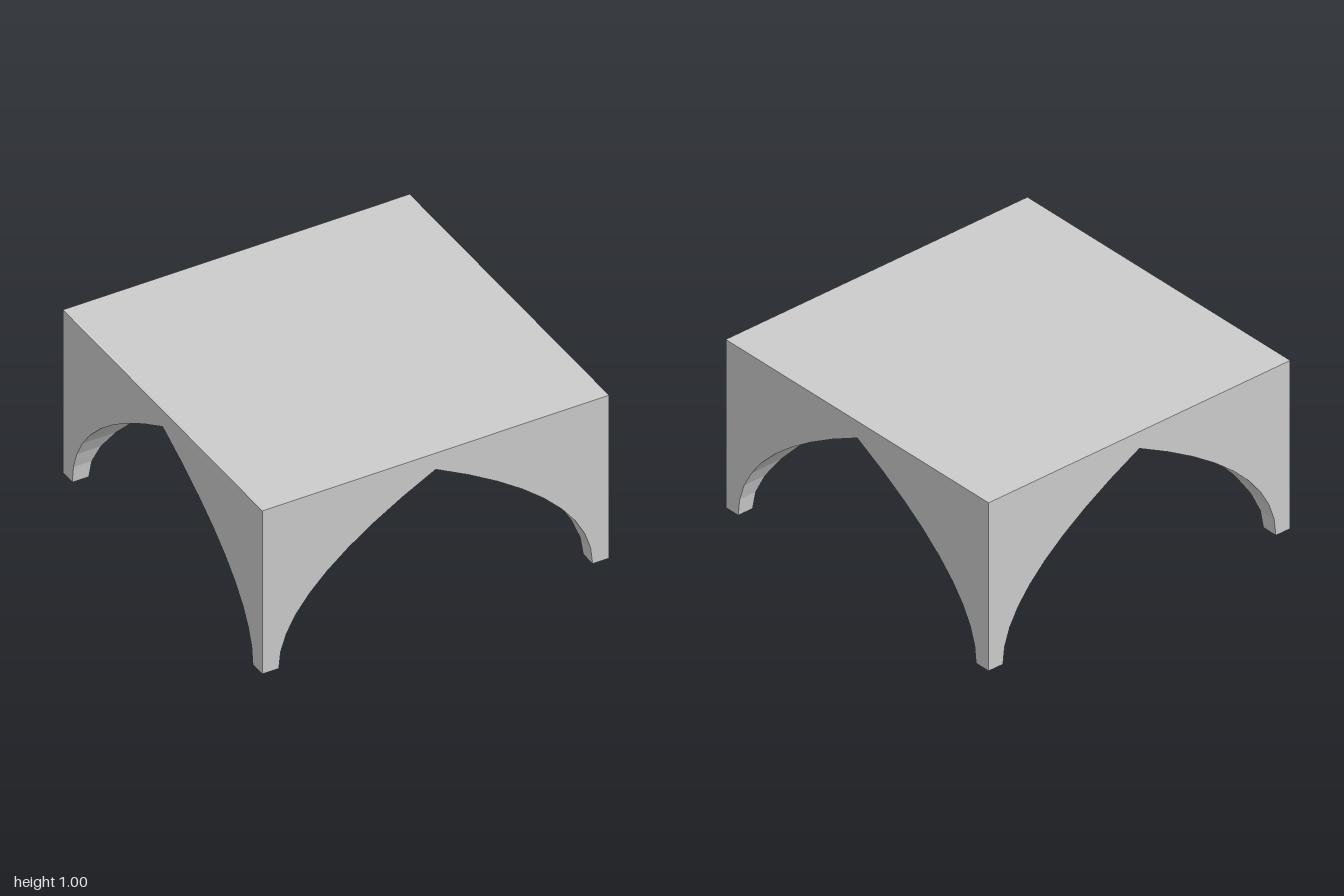
import * as THREE from 'three';

const STEPS = 9, APEX = 0.9, SPRING = 0.905, TOP = 1;
// Half-width of the pointed arch at height y
const halfWidth = (y) => SPRING * (1 - (y / APEX) ** 2);

const material = new THREE.MeshStandardMaterial({ color: 0xcccccc, flatShading: true });

// Outer wall with the arch cut out of it
function wallGeometry() {
  const shape = new THREE.Shape();
  shape.moveTo(-1, 0);
  for (let i = 0; i <= STEPS; i++) {
    const y = (APEX * i) / STEPS;
    shape.lineTo(-halfWidth(y), y);
  }
  for (let i = STEPS - 1; i >= 0; i--) {
    const y = (APEX * i) / STEPS;
    shape.lineTo(halfWidth(y), y);
  }
  shape.lineTo(1, 0);
  shape.lineTo(1, TOP);
  shape.lineTo(-1, TOP);
  return new THREE.ShapeGeometry(shape).translate(0, 0, 1);
}

// Two curved webs of one vault bay, running from the wall to the diagonal groins
function vaultGeometry() {
  const pos = [];
  for (const side of [1, -1]) {
    for (let i = 0; i < STEPS; i++) {
      const y0 = (APEX * i) / STEPS, y1 = (APEX * (i + 1)) / STEPS;
      const w0 = halfWidth(y0), w1 = halfWidth(y1);
      const a = [side * w0, y0, w0], b = [side * w0, y0, 1];
      const c = [side * w1, y1, 1], d = [side * w1, y1, w1];
      const tris = side > 0 ? [a, b, c, a, c, d] : [a, c, b, a, d, c];
      pos.push(...tris.flat());
    }
  }
  const geometry = new THREE.BufferGeometry();
  geometry.setAttribute('position', new THREE.Float32BufferAttribute(pos, 3));
  geometry.computeVertexNormals();
  return geometry;
}

export function createModel() {
  const group = new THREE.Group();
  group.name = 'groinVault';
  const add = (parent, name, geometry) => {
    const mesh = new THREE.Mesh(geometry, material);
    mesh.name = name;
    parent.add(mesh);
  };

  // Flat roof
  add(group, 'roof', new THREE.PlaneGeometry(2, 2).rotateX(-Math.PI / 2).translate(0, TOP, 0));

  // Four identical bays: wall, vault webs and one pier foot
  const wall = wallGeometry(), vault = vaultGeometry();
  const footSize = 1 - SPRING, footCentre = (1 + SPRING) / 2;
  const foot = new THREE.PlaneGeometry(footSize, footSize)
    .rotateX(Math.PI / 2).translate(footCentre, 0, footCentre);
  ['front', 'left', 'back', 'right'].forEach((name, i) => {
    const bay = new THREE.Group();
    bay.name = `${name}Bay`;
    bay.rotation.y = (i * Math.PI) / 2;
    add(bay, 'archWall', wall);
    add(bay, 'vaultWebs', vault);
    add(bay, 'pierFoot', foot);
    group.add(bay);
  });
  return group;
}
